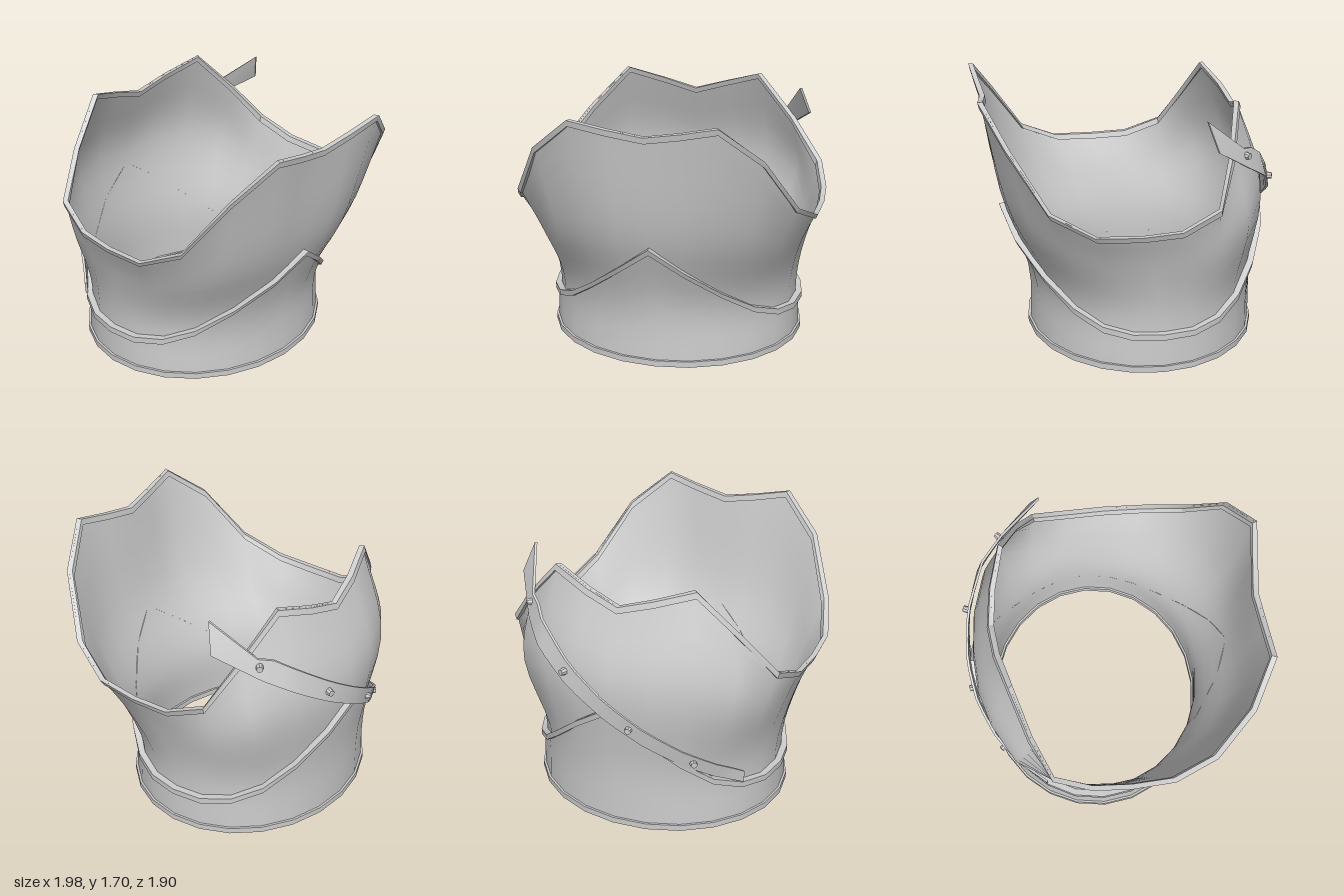
import * as THREE from 'three';
import { toCreasedNormals } from 'three/addons/utils/BufferGeometryUtils.js';

const V = (x, y, z) => new THREE.Vector3(x, y, z);
const CZ = -0.12; // depth of the torso axis
const N = 24; // columns around the torso, 0 = front centre, 12 = back centre

// Half of the columns: [rim point, chest-height point]; the other half is mirrored
const HALF = [
  [[0, 1.61, 0.89], [0, 0.95, 0.79]],
  [[0.22, 1.65, 0.91], [0.2, 0.95, 0.79]],
  [[0.44, 1.7, 0.93], [0.39, 0.95, 0.765]],
  [[0.69, 1.48, 0.8], [0.61, 0.9, 0.65]],
  [[0.87, 1.13, 0.58], [0.765, 0.8, 0.45]],
  [[0.96, 1.0, 0.32], [0.86, 0.75, 0.21]],
  [[0.975, 0.99, 0.05], [0.885, 0.75, -0.02]],
  [[0.965, 1.0, -0.2], [0.88, 0.75, -0.24]],
  [[0.91, 1.1, -0.44], [0.83, 0.8, -0.46]],
  [[0.71, 1.36, -0.55], [0.73, 0.95, -0.67]],
  [[0.46, 1.63, -0.64], [0.49, 1.03, -0.81]],
  [[0.22, 1.55, -0.71], [0.25, 1.03, -0.88]],
  [[0, 1.48, -0.74], [0, 1.0, -0.9]],
];
// Upper edge of the waist plate per column
const WAIST = [0.86, 0.69, 0.51, 0.36, 0.28, 0.25, 0.25, 0.25, 0.28, 0.36, 0.51, 0.69, 0.86];
const fold = (i) => (i <= 12 ? i : N - i);

const columns = Array.from({ length: N }, (_, i) => {
  const a = (i / N) * Math.PI * 2, s = i > 12 ? -1 : 1;
  const [r, m] = HALF[fold(i)];
  const foot = (y) => V(0.815 * Math.sin(a), y, CZ + 0.725 * Math.cos(a));
  return new THREE.CatmullRomCurve3([
    foot(0), foot(0.4), V(s * m[0], m[1], m[2]), V(s * r[0], r[1], r[2]),
  ]);
});

// Push a point away from the torso axis
function out(p, d) {
  const n = V(p.x, 0, p.z - CZ).normalize();
  return p.clone().addScaledVector(n, d);
}

// Point of one column at a given height
function atHeight(i, y) {
  let lo = 0, hi = 1;
  for (let k = 0; k < 24; k++) {
    const mid = (lo + hi) / 2;
    if (columns[i % N].getPoint(mid).y < y) lo = mid; else hi = mid;
  }
  return columns[i % N].getPoint(hi);
}

// Point of the torso surface at a fractional column and height
function surf(u, y, d = 0) {
  const i = Math.floor(u);
  return out(atHeight(i, y).lerp(atHeight(i + 1, y), u - i), d);
}

// Skin over rows of points
function grid(rows, closeAround, closeRows) {
  const n = rows[0].length, m = rows.length, pos = [], idx = [];
  rows.forEach((r) => r.forEach((p) => pos.push(p.x, p.y, p.z)));
  for (let i = 0; i < (closeRows ? m : m - 1); i++) {
    for (let j = 0; j < (closeAround ? n : n - 1); j++) {
      const k = (j + 1) % n, h = (i + 1) % m;
      const a = i * n + j, b = i * n + k, c = h * n + k, d = h * n + j;
      idx.push(a, b, c, a, c, d);
    }
  }
  const g = new THREE.BufferGeometry();
  g.setAttribute('position', new THREE.Float32BufferAttribute(pos, 3));
  g.setIndex(idx);
  g.computeVertexNormals();
  return g;
}

// Rectangular bar between a lower and an upper rail, from offset d0 to d1
function bar(low, high, d0, d1, closed) {
  const rows = [
    low.map((p) => out(p, d1)), high.map((p) => out(p, d1)),
    high.map((p) => out(p, d0)), low.map((p) => out(p, d0)),
  ];
  if (!closed) { // cap the ends
    const centre = (k) => rows.reduce((s, r) => s.add(r[k]), V(0, 0, 0)).divideScalar(4);
    const a = centre(0), b = centre(low.length - 1);
    rows.forEach((r) => { r.unshift(a); r.push(b); });
  }
  return toCreasedNormals(grid(rows, closed, true), 0.6);
}

export function createModel() {
  const group = new THREE.Group();
  const steel = new THREE.MeshStandardMaterial({ color: 0xcccccc, side: THREE.DoubleSide });
  steel.name = 'steel grey';
  const add = (name, geometry) => {
    const mesh = new THREE.Mesh(geometry, steel);
    mesh.name = name;
    group.add(mesh);
    return mesh;
  };
  const ids = columns.map((_, i) => i);
  const waistY = ids.map((i) => WAIST[fold(i)]);

  // Torso shell
  const shell = [];
  for (let k = 0; k <= 14; k++) shell.push(columns.map((c) => c.getPoint(k / 14)));
  add('torsoShell', grid(shell, true, false));

  // Border along the neck and arm openings
  const rim = columns.map((c) => c.getPoint(1));
  const rimLow = columns.map((c, i) => rim[i].clone().addScaledVector(c.getTangent(1), -0.04));
  add('upperRim', bar(rimLow, rim, -0.02, 0.014, true));

  // Waist plate with a peak at front and back
  const plate = [];
  for (let k = 0; k <= 6; k++) plate.push(ids.map((i) => out(atHeight(i, (waistY[i] * k) / 6), 0.02)));
  add('waistPlate', grid(plate, true, false));
  add('waistPlateRim', bar(
    ids.map((i) => atHeight(i, waistY[i] - 0.025)),
    ids.map((i) => atHeight(i, waistY[i] + 0.015)), 0.0, 0.042, true));

  // Bottom hem
  const ring = (y) => ids.map((i) => { const p = columns[i].getPoint(0); p.y = y; return p; });
  add('bottomHem', bar(ring(0), ring(0.04), -0.015, 0.034, true));

  // Diagonal strap across the back, its free end standing off the shoulder
  const path = new THREE.CatmullRomCurve3([
    V(9.4, 1.34, 0), V(10.9, 1.06, 0), V(12.6, 0.77, 0), V(14.3, 0.53, 0), V(16, 0.34, 0),
  ]);
  const low = [V(0.83, 1.43, -0.44)], high = [V(0.77, 1.61, -0.38)];
  for (let k = 0; k <= 20; k++) {
    const p = path.getPoint(k / 20), w = 0.085 - 0.045 * (k / 20);
    low.push(surf(p.x, p.y - w, 0.04));
    high.push(surf(p.x, p.y + w, 0.04));
  }
  add('backStrap', bar(low, high, -0.008, 0.008, false));

  // Rivets on the strap
  for (const [u, y] of [[9.4, 1.34], [10.9, 1.06], [12.6, 0.77], [14.3, 0.53]]) {
    const p = surf(u, y, 0.055);
    const rivet = add('rivet', toCreasedNormals(new THREE.CylinderGeometry(0.02, 0.025, 0.04, 8), 0.6));
    rivet.position.copy(p);
    rivet.quaternion.setFromUnitVectors(V(0, 1, 0), V(p.x, 0, p.z - CZ).normalize());
  }
  return group;
}
